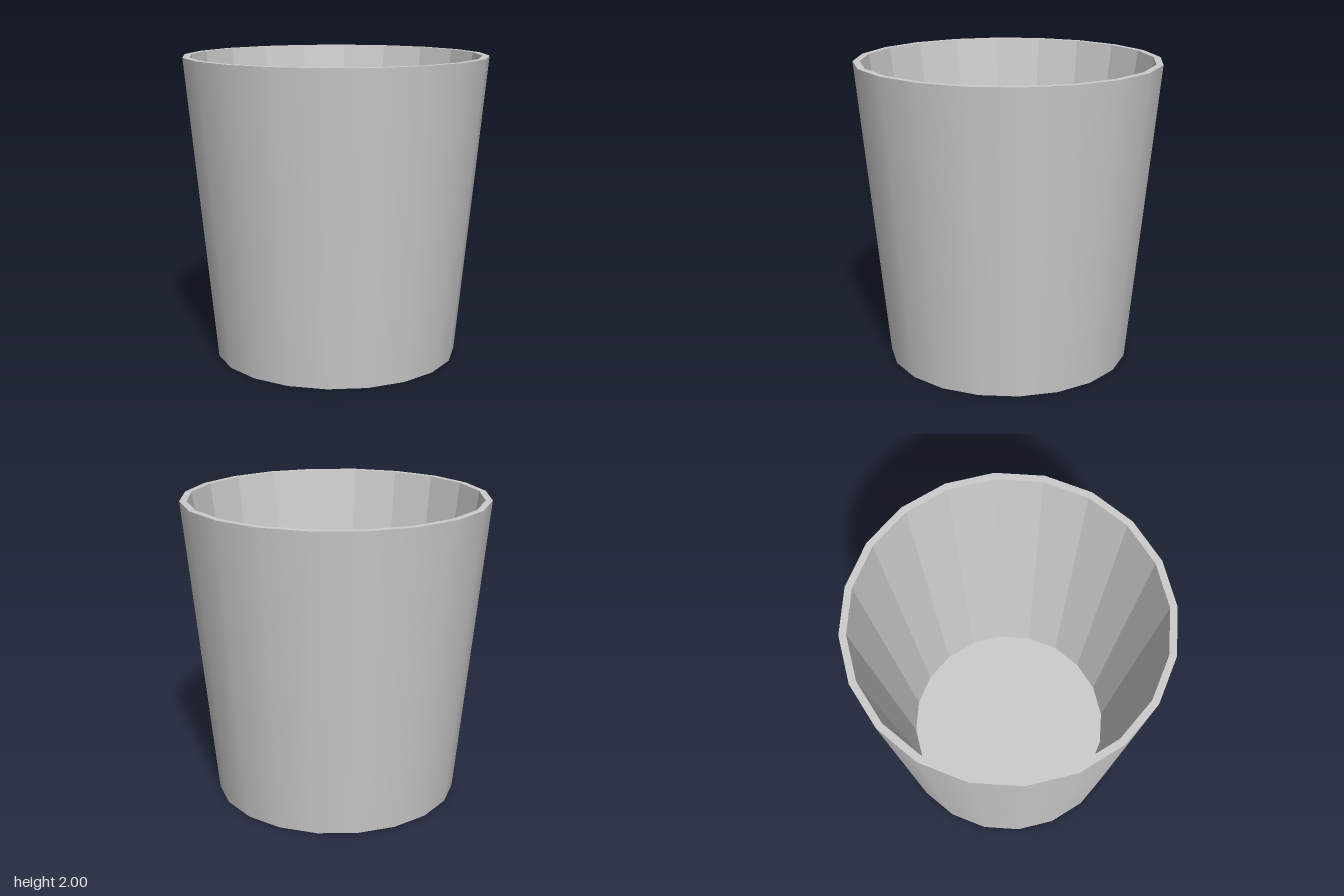
import * as THREE from 'three';

const SIDES = 20;
const HEIGHT = 2, RIM_R = 1, BASE_R = 0.81;
const INNER_RIM_R = 0.955, FLOOR_R = 0.7, FLOOR_Y = 0.06;

export function createModel() {
  const group = new THREE.Group();
  group.name = 'cup';
  const smooth = new THREE.MeshStandardMaterial({ color: 0xcccccc });
  const faceted = new THREE.MeshStandardMaterial({ color: 0xcccccc, flatShading: true });
  const inward = faceted.clone();
  inward.side = THREE.BackSide;

  const add = (name, geometry, material, y, tilt = 0) => {
    const mesh = new THREE.Mesh(geometry, material);
    mesh.name = name;
    mesh.position.y = y;
    mesh.rotation.x = tilt;
    group.add(mesh);
  };

  // Smooth tapered outside
  add('outerWall', new THREE.CylinderGeometry(RIM_R, BASE_R, HEIGHT, SIDES, 1, true), smooth, HEIGHT / 2);

  // Faceted inside, tapering more than the outside
  const depth = HEIGHT - FLOOR_Y;
  add('innerWall', new THREE.CylinderGeometry(INNER_RIM_R, FLOOR_R, depth, SIDES, 1, true), inward, FLOOR_Y + depth / 2);

  // Flat rim, inside floor and underside
  add('rim', new THREE.RingGeometry(INNER_RIM_R, RIM_R, SIDES), faceted, HEIGHT, -Math.PI / 2);
  add('innerFloor', new THREE.CircleGeometry(FLOOR_R, SIDES), faceted, FLOOR_Y, -Math.PI / 2);
  add('base', new THREE.CircleGeometry(BASE_R, SIDES), faceted, 0, Math.PI / 2);

  return group;
}
